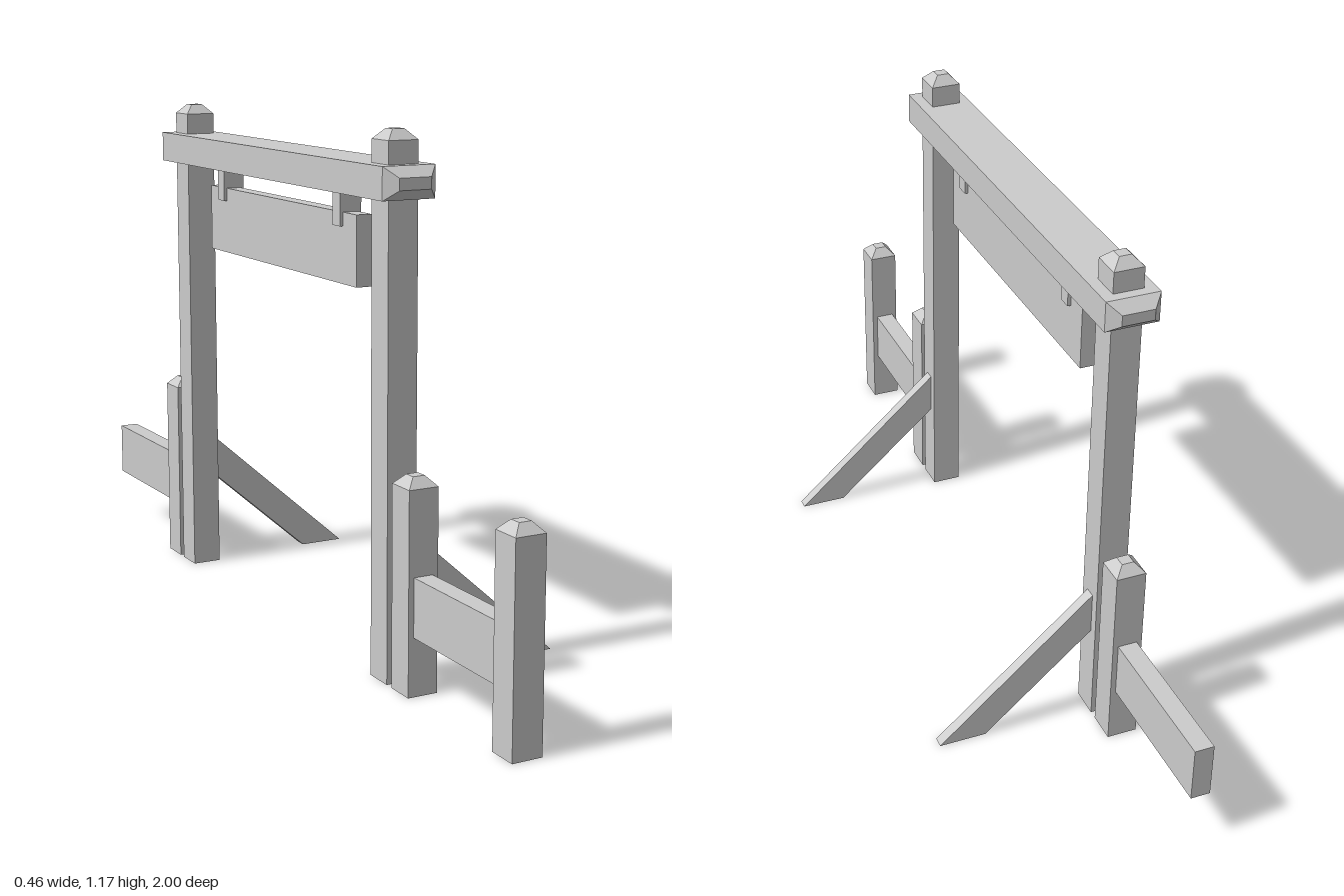
import * as THREE from 'three';

const material = new THREE.MeshStandardMaterial({ color: 0xcccccc, flatShading: true });
const X = -0.17; // plane of the gateway and fence

function add(group, name, geometry, x, y, z) {
  const flat = geometry.index ? geometry.toNonIndexed() : geometry;
  flat.computeVertexNormals();
  const mesh = new THREE.Mesh(flat, material);
  mesh.name = name;
  mesh.position.set(x, y, z);
  group.add(mesh);
  return mesh;
}

// Box given by its y and z ranges, centred on the gateway plane
function plank(group, name, width, y0, y1, z0, z1) {
  add(group, name, new THREE.BoxGeometry(width, y1 - y0, z1 - z0), X, (y0 + y1) / 2, (z0 + z1) / 2);
}

// Square post, open underneath, with a chamfered top
function post(group, name, height, z) {
  const r = 0.035 * Math.SQRT2, top = 0.014 * Math.SQRT2;
  const profile = [[r, 0], [r, height], [top, height + 0.022], [0, height + 0.022]]
    .map(([a, b]) => new THREE.Vector2(a, b));
  add(group, name, new THREE.LatheGeometry(profile, 4, Math.PI / 4), X, 0, z);
}

// Crossbeam whose two ends taper to a smaller face
function beamGeometry(width, height, length, bevel) {
  const geometry = new THREE.BoxGeometry(width, height, length, 1, 1, 3);
  const p = geometry.attributes.position;
  for (let i = 0; i < p.count; i++) {
    const z = p.getZ(i);
    if (Math.abs(z) > length * 0.4) {
      p.setX(i, p.getX(i) * 0.6);
      p.setY(i, p.getY(i) * 0.36);
    } else {
      p.setZ(i, Math.sign(z) * (length / 2 - bevel));
    }
  }
  return geometry;
}

export function createModel() {
  const group = new THREE.Group();
  group.name = 'gateway';

  // Tall gate posts, each with a diagonal brace to the ground
  const braceShape = new THREE.Shape([[-0.14, 0.329], [-0.14, 0.229], [0.12, 0], [0.23, 0]]
    .map(([x, y]) => new THREE.Vector2(x, y)));
  for (const z of [0.485, -0.515]) {
    post(group, 'gatePost', 1.152, z);
    const brace = new THREE.ExtrudeGeometry(braceShape, { depth: 0.026, bevelEnabled: false });
    add(group, 'brace', brace, 0, 0, z - 0.013);
  }

  // Crossbeam
  add(group, 'crossbeam', beamGeometry(0.124, 0.07, 1.17, 0.027), X, 1.068, -0.016);

  // Hanging board and its two hangers
  plank(group, 'signBoard', 0.036, 0.83, 0.985, -0.381, 0.355);
  for (const z of [0.279, -0.307]) plank(group, 'hanger', 0.052, 0.955, 1.045, z - 0.017, z + 0.017);

  // Fence: short posts and one rail on each side
  for (const z of [0.967, 0.575, -0.605]) post(group, 'fencePost', 0.447, z);
  plank(group, 'fenceRail', 0.045, 0.13, 0.26, 0.5, 0.98);
  plank(group, 'fenceRail', 0.045, 0.13, 0.26, -1, -0.53);

  return group;
}
